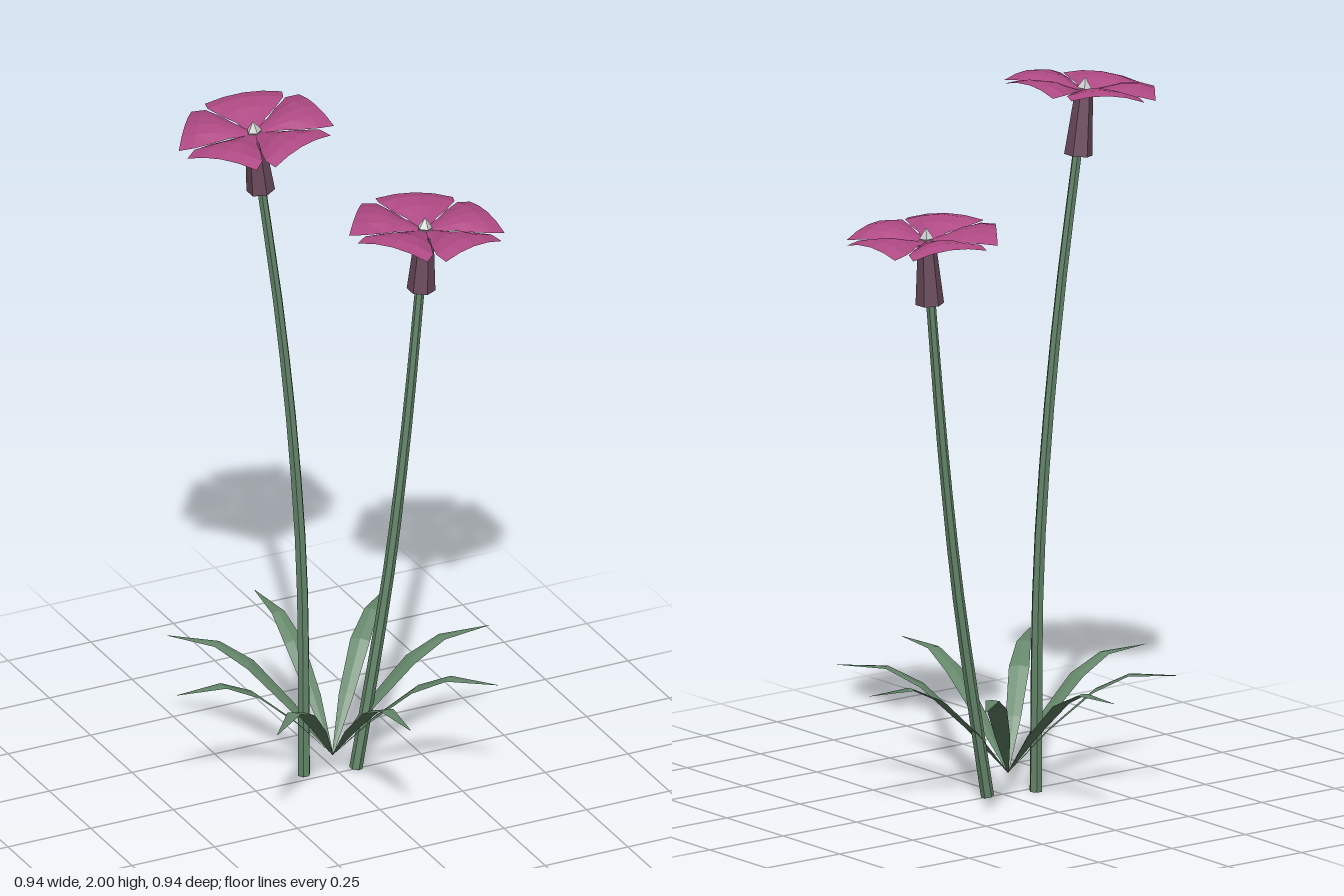
import * as THREE from 'three';

const material = (color, side = THREE.FrontSide) =>
  new THREE.MeshStandardMaterial({ color, side, flatShading: true });
const green = material(0x64866a);
const leafGreen = material(0x64866a, THREE.DoubleSide);
const pink = material(0xb04a85, THREE.DoubleSide);
const plum = material(0x6b4a5c, THREE.DoubleSide);
const grey = material(0xcccccc);

function addMesh(parent, name, geometry, mat) {
  const mesh = new THREE.Mesh(geometry, mat);
  mesh.name = name;
  parent.add(mesh);
  return mesh;
}

// Blade running out along +x; rows are [distance, height, half width, edge drop]
function blade(rows, columns) {
  const positions = [], index = [];
  rows.forEach(([r, y, w, drop], i) => {
    for (let j = 0; j <= columns; j++) {
      const t = (j / columns) * 2 - 1;
      positions.push(r, y - drop * t * t, w * t);
      if (i && j) {
        const d = i * (columns + 1) + j, b = d - columns - 1;
        index.push(b - 1, b, d, b - 1, d, d - 1);
      }
    }
  });
  const geometry = new THREE.BufferGeometry();
  geometry.setAttribute('position', new THREE.Float32BufferAttribute(positions, 3));
  // Wind the faces so the upper side is the front
  geometry.setIndex(index);
  geometry.computeVertexNormals();
  return geometry;
}

// Curved stem, tapering from base to top
function stem(points, baseRadius, topRadius) {
  const curve = new THREE.CatmullRomCurve3(points.map((p) => new THREE.Vector3(...p)));
  const segments = 10, sides = 6;
  const geometry = new THREE.TubeGeometry(curve, segments, 1, sides);
  const pos = geometry.attributes.position, v = new THREE.Vector3();
  for (let i = 0; i < pos.count; i++) {
    const t = Math.floor(i / (sides + 1)) / segments;
    const centre = curve.getPointAt(t);
    v.fromBufferAttribute(pos, i).sub(centre);
    v.multiplyScalar(THREE.MathUtils.lerp(baseRadius, topRadius, t)).add(centre);
    pos.setXYZ(i, v.x, v.y, v.z);
  }
  geometry.computeVertexNormals();
  return geometry;
}

function flower(name, position, tilt) {
  const group = new THREE.Group();
  group.name = name;
  group.position.set(...position);
  group.rotation.z = tilt;

  // Five arched, overlapping petals
  const petal = blade([
    [0, -0.005, 0.012, 0],
    [0.06, 0.012, 0.04, 0.008],
    [0.1, 0.025, 0.072, 0.018],
    [0.15, 0.028, 0.104, 0.018],
    [0.19, 0.02, 0.106, 0.016],
  ], 4);
  for (let i = 0; i < 5; i++) {
    addMesh(group, 'petal', petal, pink).rotation.y = (i * Math.PI * 2) / 5;
  }

  // Flared calyx below the petals and pointed centre above
  const calyx = addMesh(group, 'calyx', new THREE.CylinderGeometry(0.024, 0.039, 0.18, 6), plum);
  calyx.position.y = -0.09;
  const centre = addMesh(group, 'flowerCentre', new THREE.ConeGeometry(0.021, 0.03, 5), grey);
  centre.position.y = 0.02;
  return group;
}

export function createModel() {
  const model = new THREE.Group();
  model.name = 'floweringPlant';

  // Rosette of eight arching leaves
  const leaf = blade([
    [0, 0.06, 0.002, 0],
    [0.115, 0.19, 0.021, 0.003],
    [0.235, 0.3, 0.028, 0.004],
    [0.33, 0.346, 0.019, 0.003],
    [0.472, 0.346, 0.001, 0],
  ], 2);
  const leaves = new THREE.Group();
  leaves.name = 'leaves';
  leaves.position.x = -0.018;
  for (let i = 0; i < 8; i++) {
    addMesh(leaves, 'leaf', leaf, leafGreen).rotation.y = (i * Math.PI) / 4;
  }
  model.add(leaves);

  // Tall and short stems with their base caps
  const stems = {
    tallStem: [[-0.09, 0.003, -0.03], [-0.092, 0.6, -0.038], [-0.112, 1, -0.05],
      [-0.147, 1.4, -0.065], [-0.196, 1.8, -0.08]],
    shortStem: [[0.052, 0.005, 0], [0.105, 0.3, 0], [0.155, 0.6, 0],
      [0.205, 1, 0], [0.248, 1.44, 0]],
  };
  for (const [name, points] of Object.entries(stems)) {
    addMesh(model, name, stem(points, 0.018, 0.013), green);
    const cap = addMesh(model, name + 'Base', new THREE.CircleGeometry(0.017, 6), green);
    cap.position.set(...points[0]);
    cap.rotation.x = Math.PI / 2;
  }

  model.add(flower('tallFlower', [-0.214, 1.953, -0.083], 0.11));
  model.add(flower('shortFlower', [0.26, 1.59, 0], -0.06));
  return model;
}
